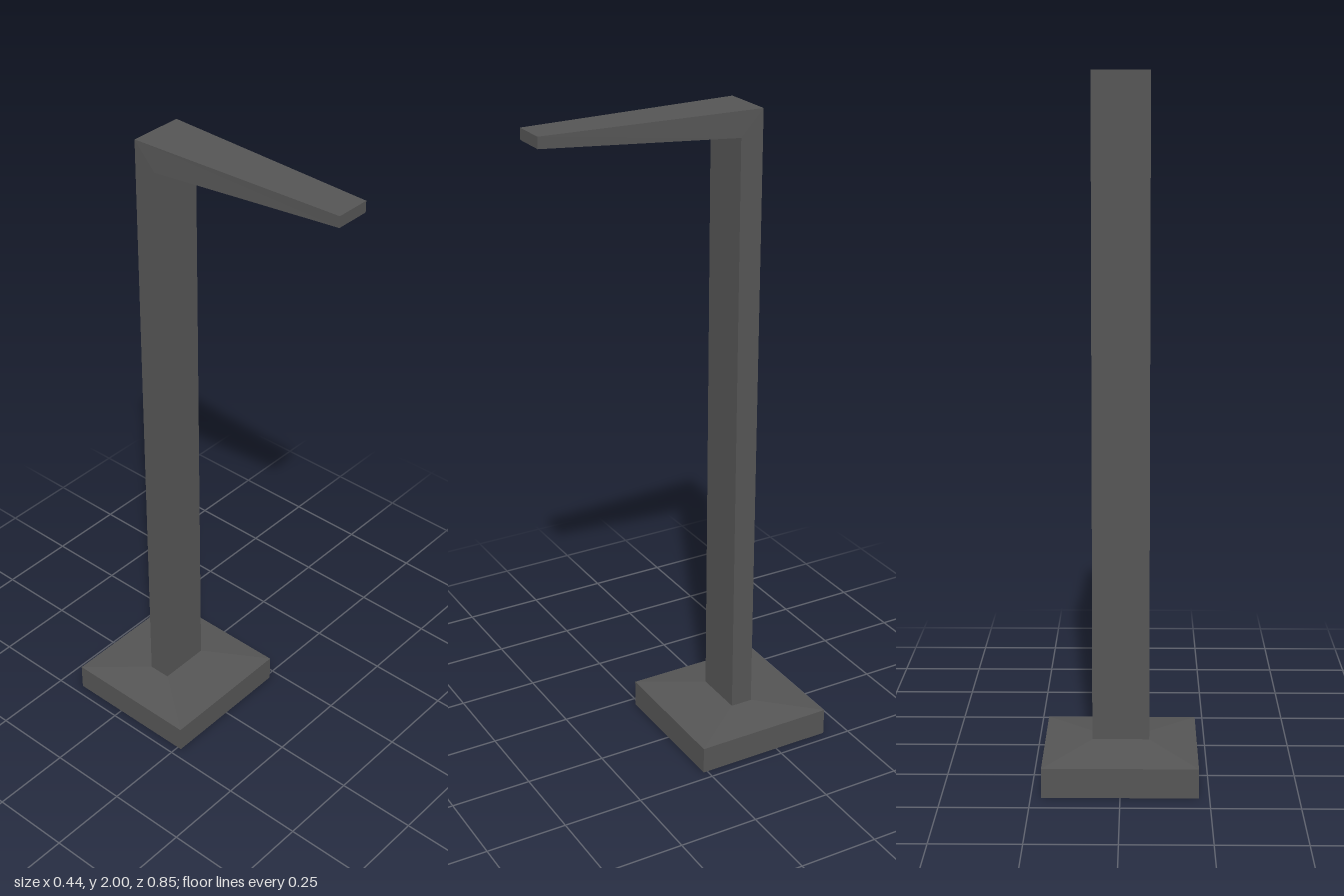
import * as THREE from 'three';

const material = (color) =>
  new THREE.MeshStandardMaterial({ color, flatShading: true, side: THREE.DoubleSide });

// Four corners: front pair then back pair, counter-clockwise from above.
const ring = (w, yFront, zFront, yBack = yFront, zBack = zFront) => [
  [-w, yFront, zFront], [w, yFront, zFront], [w, yBack, zBack], [-w, yBack, zBack],
];

// Skin a row of four-cornered rings, optionally closing the last one.
function loft(name, rings, mat, cap = false) {
  const pos = [];
  const quad = (a, b, c, d) => pos.push(...a, ...b, ...c, ...a, ...c, ...d);
  for (let k = 0; k < rings.length - 1; k++) {
    for (let i = 0; i < 4; i++) {
      const j = (i + 1) % 4;
      quad(rings[k][i], rings[k][j], rings[k + 1][j], rings[k + 1][i]);
    }
  }
  if (cap) quad(...rings[rings.length - 1]);
  const geometry = new THREE.BufferGeometry();
  geometry.setAttribute('position', new THREE.Float32BufferAttribute(pos, 3));
  geometry.computeVertexNormals();
  const mesh = new THREE.Mesh(geometry, mat);
  mesh.name = name;
  return mesh;
}

export function createModel() {
  const model = new THREE.Group();
  model.name = 'streetLamp';
  const metal = material(0x555555);

  const postFoot = ring(0.082, 0.105, -0.17, 0.105, -0.24);
  const elbow = ring(0.082, 1.926, -0.17, 2, -0.24);
  const tip = ring(0.053, 1.967, 0.427, 2, 0.427);

  // Hollow base: straight skirt and shallow sloped top, open underneath
  model.add(loft('base', [
    ring(0.22, 0, 0.013, 0, -0.427),
    ring(0.22, 0.085, 0.013, 0.085, -0.427),
    postFoot,
  ], metal));

  // Hollow post, mitred into the tapering arm
  model.add(loft('post', [postFoot, elbow], metal));
  model.add(loft('arm', [elbow, tip], metal, true));

  // Light panel just below the sloping underside of the arm
  const underside = (z) => 1.926 + (z + 0.17) * (0.041 / 0.597) - 0.002;
  const [z0, z1] = [0.16, 0.3];
  const panel = new THREE.PlaneGeometry(0.084, z1 - z0);
  panel.rotateX(Math.PI / 2 - Math.atan(0.041 / 0.597));
  const light = new THREE.Mesh(panel, material(0x8a8a00));
  light.name = 'lightPanel';
  light.position.set(0, underside((z0 + z1) / 2), (z0 + z1) / 2);
  model.add(light);

  return model;
}
